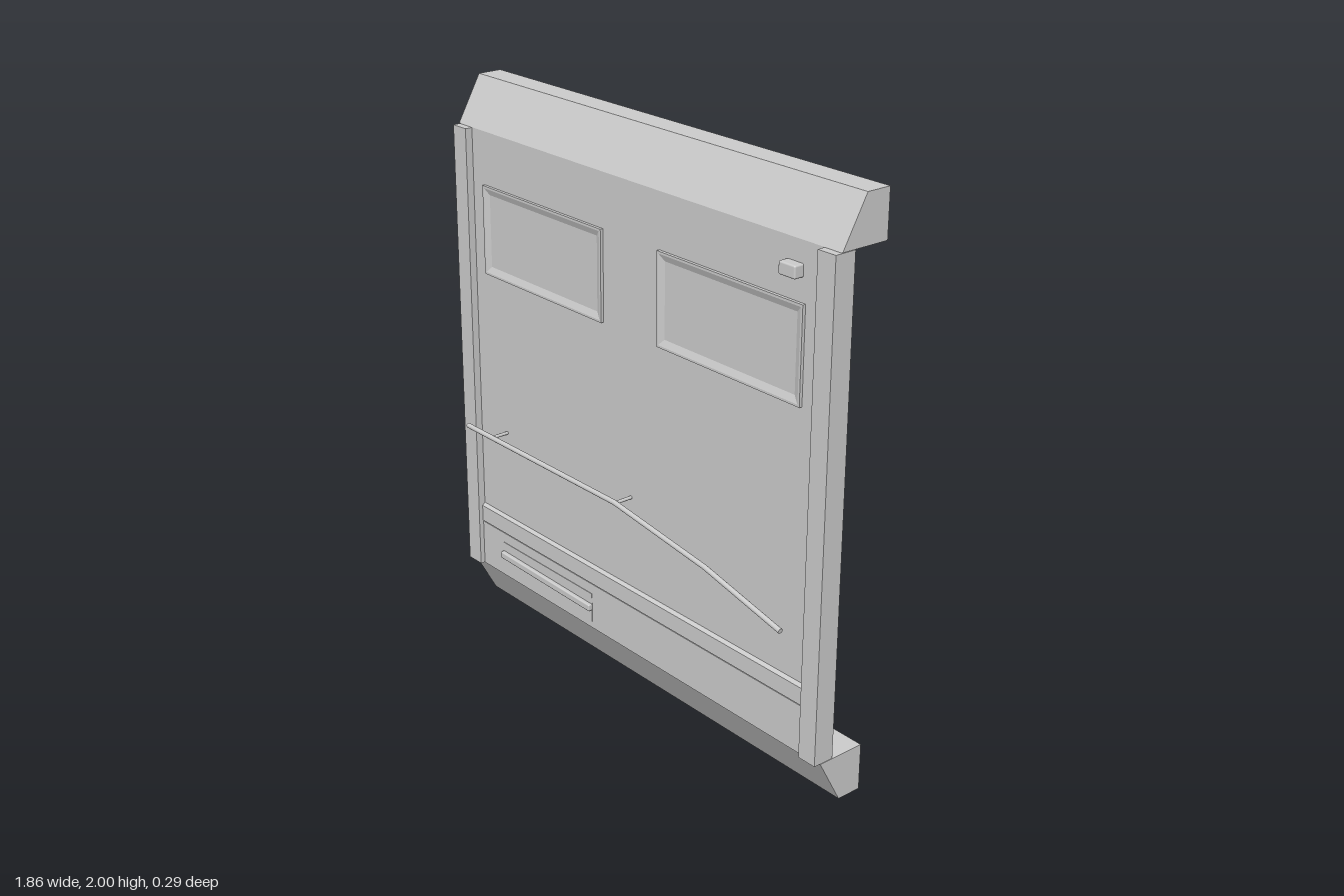
import * as THREE from 'three';
import { RoundedBoxGeometry } from 'three/addons/geometries/RoundedBoxGeometry.js';

const mat = new THREE.MeshStandardMaterial({ color: 0xcccccc, flatShading: true });
const smooth = new THREE.MeshStandardMaterial({ color: 0xcccccc });

export function createModel() {
  const group = new THREE.Group();
  const add = (name, geometry, material = mat) => {
    const mesh = new THREE.Mesh(geometry, material);
    mesh.name = name;
    group.add(mesh);
    return mesh;
  };
  // box given by its limits on each axis
  const box = (name, x0, x1, y0, y1, z0, z1) =>
    add(name, new THREE.BoxGeometry(x1 - x0, y1 - y0, z1 - z0))
      .position.set((x0 + x1) / 2, (y0 + y1) / 2, (z0 + z1) / 2);
  // [z, y] profile swept along x
  const beam = (name, points, x0, x1) => {
    const shape = new THREE.Shape(points.map(([z, y]) => new THREE.Vector2(-z, y)));
    const g = new THREE.ExtrudeGeometry(shape, { depth: x1 - x0, bevelEnabled: false });
    g.rotateY(Math.PI / 2).translate(x0, 0, 0);
    return add(name, g);
  };
  const rod = (name, a, b, r) => {
    const path = new THREE.LineCurve3(new THREE.Vector3(...a), new THREE.Vector3(...b));
    const g = new THREE.CylinderGeometry(r, r, path.getLength(), 12);
    const mesh = add(name, g, smooth);
    mesh.position.copy(path.getPoint(0.5));
    mesh.quaternion.setFromUnitVectors(new THREE.Vector3(0, 1, 0), path.getTangent(0));
  };

  // wall sheet with sloped beams at top and bottom
  box('wallPanel', -0.925, 0.925, 0.165, 1.84, -0.018, 0.033);
  beam('topBeam', [[0.035, 1.84], [-0.055, 2], [-0.145, 2], [-0.145, 1.84]], -0.93, 0.93);
  beam('bottomBeam', [[0.035, 0.165], [-0.145, 0.165], [-0.145, 0], [-0.055, 0]], -0.93, 0.93);

  // side posts
  for (const s of [-1, 1]) {
    const x = s * 0.893;
    box(s < 0 ? 'rightPost' : 'leftPost', x - 0.036, x + 0.036, 0.166, 1.838, -0.018, 0.06);
  }

  // kick panel and the ledge strip above it
  box('kickPanel', -0.857, 0.857, 0.165, 0.338, 0.03, 0.042);
  beam('ledgeStrip', [[0.03, 0.342], [0.044, 0.342], [0.044, 0.403], [0.033, 0.413], [0.03, 0.413]], -0.857, 0.857);

  // framed panes: raised rim sloping in to a flat field
  for (const s of [-1, 1]) {
    const cx = s * 0.465, cy = 1.49;
    const rings = [[0.325, 0.16, 0.03], [0.325, 0.16, 0.044], [0.317, 0.152, 0.044], [0.295, 0.13, 0.035]];
    const pos = [], idx = [];
    for (const [w, h, z] of rings)
      for (const [u, v] of [[-1, -1], [1, -1], [1, 1], [-1, 1]]) pos.push(cx + u * w, cy + v * h, z);
    for (let r = 0; r < rings.length - 1; r++)
      for (let i = 0; i < 4; i++) {
        const a = r * 4 + i, b = r * 4 + (i + 1) % 4;
        idx.push(a, b, b + 4, a, b + 4, a + 4);
      }
    idx.push(12, 13, 14, 12, 14, 15);
    const g = new THREE.BufferGeometry();
    g.setAttribute('position', new THREE.Float32BufferAttribute(pos, 3));
    g.setIndex(idx);
    const flat = g.toNonIndexed();
    flat.computeVertexNormals();
    add(s < 0 ? 'rightPane' : 'leftPane', flat);
  }

  // small call button
  add('button', new RoundedBoxGeometry(0.07, 0.042, 0.04, 2, 0.006), smooth).position.set(0.742, 1.748, 0.048);

  // bent handrail on two brackets
  const rail = [[-0.84, 0.75, 0.105], [0, 0.75, 0.105], [0.47, 0.7, 0.118], [0.835, 0.635, 0.135]];
  for (let i = 0; i < 3; i++) {
    rod('handrail', rail[i], rail[i + 1], 0.009);
    if (i) add('handrailJoint', new THREE.SphereGeometry(0.009, 12, 8), smooth).position.set(...rail[i]);
  }
  for (const x of [-0.7, 0]) rod('railBracket', [x, 0.747, 0.03], [x, 0.747, 0.105], 0.006);

  // low pull bar on a thin plate
  box('pullPlate', -0.73, -0.205, 0.19, 0.3, 0.04, 0.044);
  const bar = add('pullBar', new RoundedBoxGeometry(0.525, 0.026, 0.018, 2, 0.005), smooth);
  bar.position.set(-0.467, 0.25, 0.05);
  bar.rotation.z = -0.012;

  return group;
}
